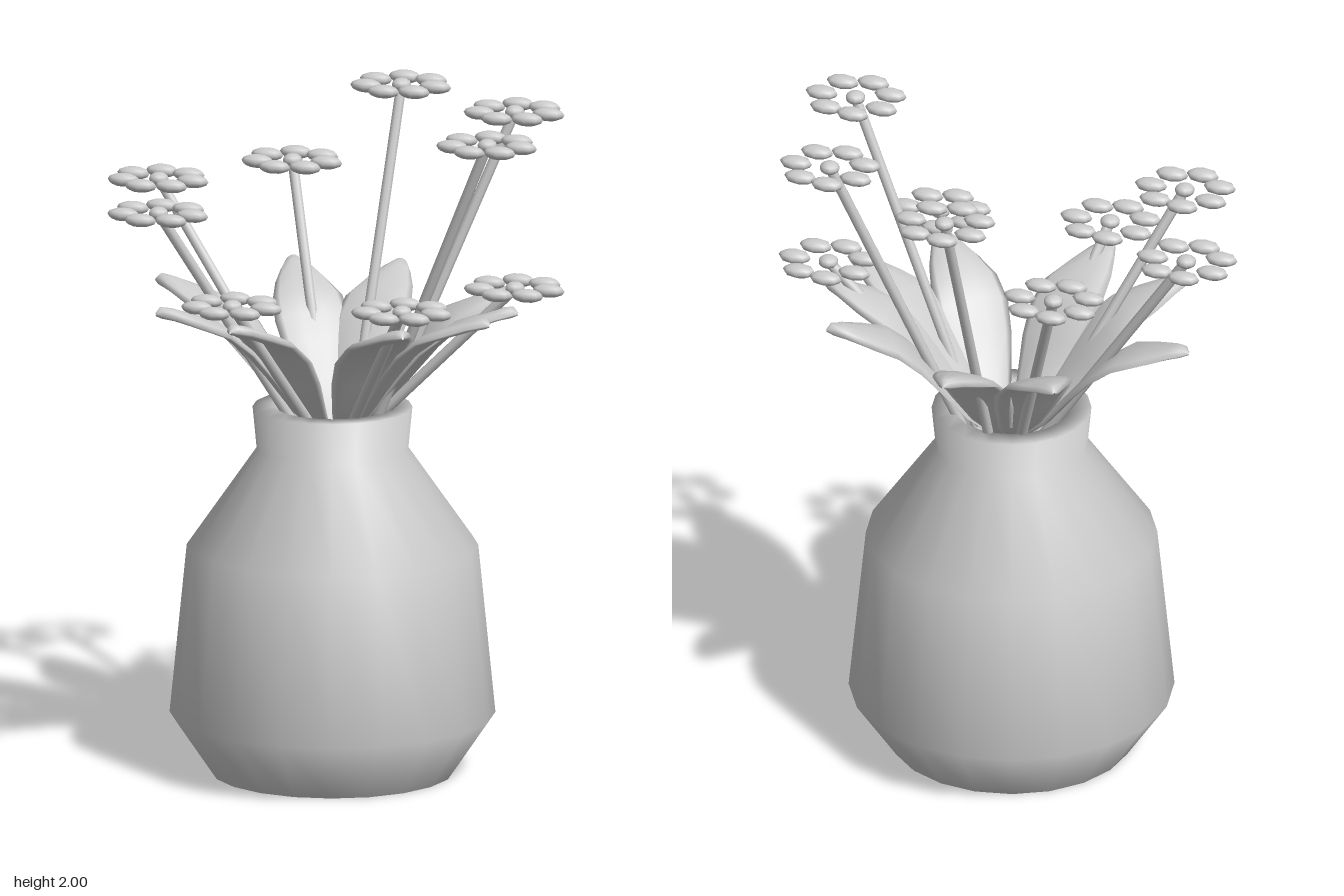
import * as THREE from 'three';

const clay = new THREE.MeshStandardMaterial({ color: 0xcccccc });
clay.name = 'clay grey';

// Flower centres: x, height, z
const FLOWERS = [
  [0.56, 1.51, 0.0], [0.53, 1.98, 0.17], [0.34, 1.51, 0.4],
  [-0.16, 1.51, 0.49], [-0.44, 1.74, 0.34], [-0.58, 1.74, -0.085],
  [-0.28, 1.74, -0.44], [0.04, 1.98, -0.5], [0.47, 1.98, -0.27],
];

function add(parent, name, geometry) {
  const mesh = new THREE.Mesh(geometry, clay);
  mesh.name = name;
  parent.add(mesh);
  return mesh;
}

// Straight round rod between two points
function rod(a, b, radius) {
  const d = b.clone().sub(a);
  const g = new THREE.CylinderGeometry(radius, radius, d.length(), 8);
  g.applyQuaternion(new THREE.Quaternion().setFromUnitVectors(new THREE.Vector3(0, 1, 0), d.normalize()));
  const m = a.clone().add(b).multiplyScalar(0.5);
  return g.translate(m.x, m.y, m.z);
}

// Leaf sections: fraction of reach, height, half width
const LEAF = [
  [0, 1.0, 0.004], [0.12, 1.05, 0.03], [0.25, 1.12, 0.065], [0.4, 1.23, 0.1],
  [0.52, 1.31, 0.115], [0.64, 1.365, 0.106], [0.78, 1.395, 0.08],
  [0.9, 1.42, 0.047], [0.97, 1.43, 0.024], [1.0, 1.432, 0.004],
];

// Solid pointed leaf, domed on top, lofted outward along (ux, uz)
function leafGeometry(x, z) {
  const reach = Math.hypot(x, z) + 0.01;
  const ux = x / Math.hypot(x, z), uz = z / Math.hypot(x, z);
  const sides = 10, pos = [], idx = [];
  LEAF.forEach(([t, y, w], i) => {
    for (let j = 0; j < sides; j++) {
      const a = (j / sides) * Math.PI * 2;
      const s = Math.cos(a) * w;
      const rise = Math.sin(a) * Math.min(w, Math.sin(a) > 0 ? 0.026 : 0.01);
      pos.push(ux * reach * t - uz * s, y + rise, uz * reach * t + ux * s);
      if (i < LEAF.length - 1) {
        const p = i * sides + j, q = i * sides + (j + 1) % sides;
        idx.push(p, p + sides, q, q, p + sides, q + sides);
      }
    }
  });
  const g = new THREE.BufferGeometry();
  g.setAttribute('position', new THREE.Float32BufferAttribute(pos, 3));
  g.setIndex(idx);
  g.computeVertexNormals();
  return g;
}

function createVase() {
  const vase = new THREE.Group();
  vase.name = 'vase';
  const lathe = (pts) => new THREE.LatheGeometry(pts.map(([r, y]) => new THREE.Vector2(r, y)), 20);
  // Outer wall, rolled lip and hollow inside
  add(vase, 'vaseBody', lathe([
    [0.36, 0], [0.483, 0.18], [0.432, 0.69], [0.225, 0.985], [0.237, 1.11],
    [0.17, 1.11], [0.165, 0.97], [0.37, 0.67], [0.42, 0.2], [0.3, 0.06], [0, 0.06],
  ]));
  add(vase, 'vaseBase', new THREE.CircleGeometry(0.36, 20).rotateX(Math.PI / 2));
  vase.position.set(-0.008, 0, 0.005);
  return vase;
}

function createFlower(x, y, z) {
  const flower = new THREE.Group();
  flower.name = 'flower';
  // Stem leans out over the lip of the vase
  const r = Math.hypot(x, z), top = new THREE.Vector3(x, y, z);
  const lip = new THREE.Vector3((x / r) * 0.165, 1.12, (z / r) * 0.165);
  const foot = lip.clone().add(lip.clone().sub(top).multiplyScalar(0.2));
  add(flower, 'stem', rod(foot, top, 0.016));
  // Head: a button ringed by seven flat petals
  const button = add(flower, 'flowerCentre', new THREE.SphereGeometry(1, 10, 6));
  button.scale.set(0.03, 0.02, 0.03);
  button.position.copy(top);
  for (let k = 0; k < 7; k++) {
    const a = (k / 7) * Math.PI * 2;
    const petal = add(flower, 'petal', new THREE.SphereGeometry(1, 8, 6));
    petal.scale.set(0.05, 0.02, 0.031);
    petal.position.set(x + Math.cos(a) * 0.105, y, z + Math.sin(a) * 0.105);
  }
  return flower;
}

export function createModel() {
  const model = new THREE.Group();
  model.name = 'vaseOfFlowers';
  model.add(createVase());
  for (const [x, y, z] of FLOWERS) {
    model.add(createFlower(x, y, z));
    add(model, 'leaf', leafGeometry(x, z));
  }
  return model;
}
